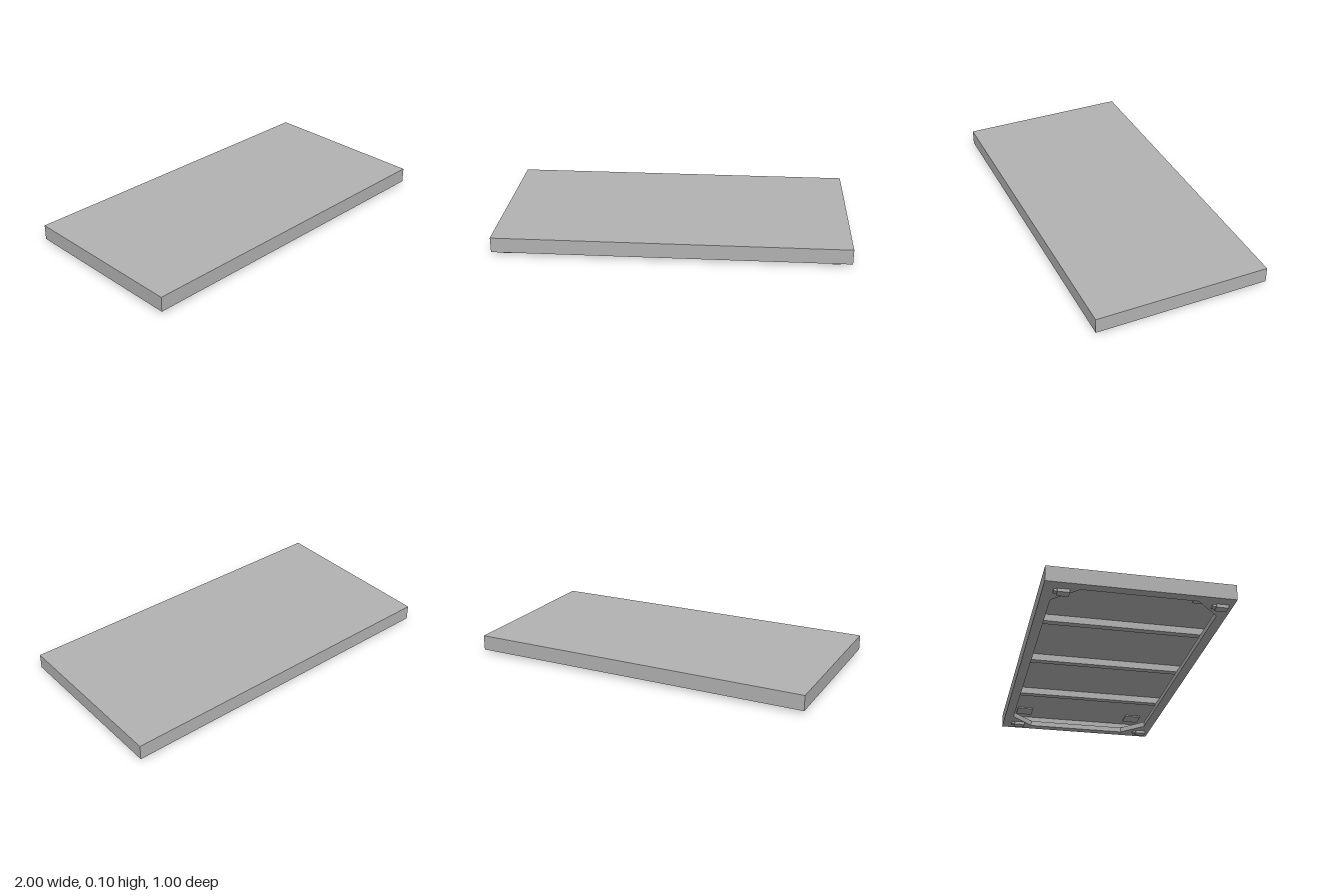
import * as THREE from 'three';

const HX = 1, HZ = 0.498;
const grey = new THREE.MeshStandardMaterial({ color: 0xb2b2b2 });
grey.name = 'plain grey';

function box(parent, name, w, h, d, x, y, z) {
  const mesh = new THREE.Mesh(new THREE.BoxGeometry(w, h, d), grey);
  mesh.name = name;
  mesh.position.set(x, y, z);
  parent.add(mesh);
}

// Rectangle outline with optional chamfered corners
function outline(path, hx, hz, c) {
  const pts = [];
  for (const [sx, sz] of [[1, 1], [-1, 1], [-1, -1], [1, -1]]) {
    const a = [sx * hx, sz * (hz - c)], b = [sx * (hx - c), sz * hz];
    if (c === 0) pts.push(a);
    else pts.push(...(sx * sz > 0 ? [a, b] : [b, a]));
  }
  path.setFromPoints(pts.map(([x, y]) => new THREE.Vector2(x, y)));
  return path;
}

// Flat frame lying between two heights
function ring(parent, name, border, chamfer, y0, y1) {
  const shape = outline(new THREE.Shape(), HX, HZ, 0);
  shape.holes.push(outline(new THREE.Path(), HX - border, HZ - border, chamfer));
  const geo = new THREE.ExtrudeGeometry(shape, { depth: y1 - y0, bevelEnabled: false });
  geo.rotateX(-Math.PI / 2);
  const mesh = new THREE.Mesh(geo, grey);
  mesh.name = name;
  mesh.position.y = y0;
  parent.add(mesh);
}

export function createModel() {
  const group = new THREE.Group();
  group.name = 'panel';

  // Top board over a hollow frame with gusseted corners
  box(group, 'topBoard', 2 * HX, 0.015, 2 * HZ, 0, 0.0975, 0);
  ring(group, 'apron', 0.025, 0, 0.05, 0.09);
  ring(group, 'bottomFrame', 0.055, 0.135, 0.018, 0.05);

  // Cross ribs under the board
  for (const x of [-0.5, 0, 0.5]) box(group, 'crossRib', 0.04, 0.04, 0.94, x, 0.07, 0);

  for (const sx of [-1, 1]) {
    for (const sz of [-1, 1]) {
      // Mounting plate under the board near each corner
      box(group, 'mountingPlate', 0.1, 0.008, 0.1, sx * 0.86, 0.086, sz * 0.365);

      // Stepped foot, facing the same way at all corners
      const foot = new THREE.Group();
      foot.name = 'foot';
      foot.position.set(sx * 0.915, 0, sz > 0 ? 0.4375 : -0.3925);
      box(foot, 'footPad', 0.046, 0.018, 0.065, 0, 0.009, 0);
      box(foot, 'footStep', 0.03, 0.012, 0.018, 0, 0.012, -0.0415);
      group.add(foot);
    }
  }
  return group;
}
